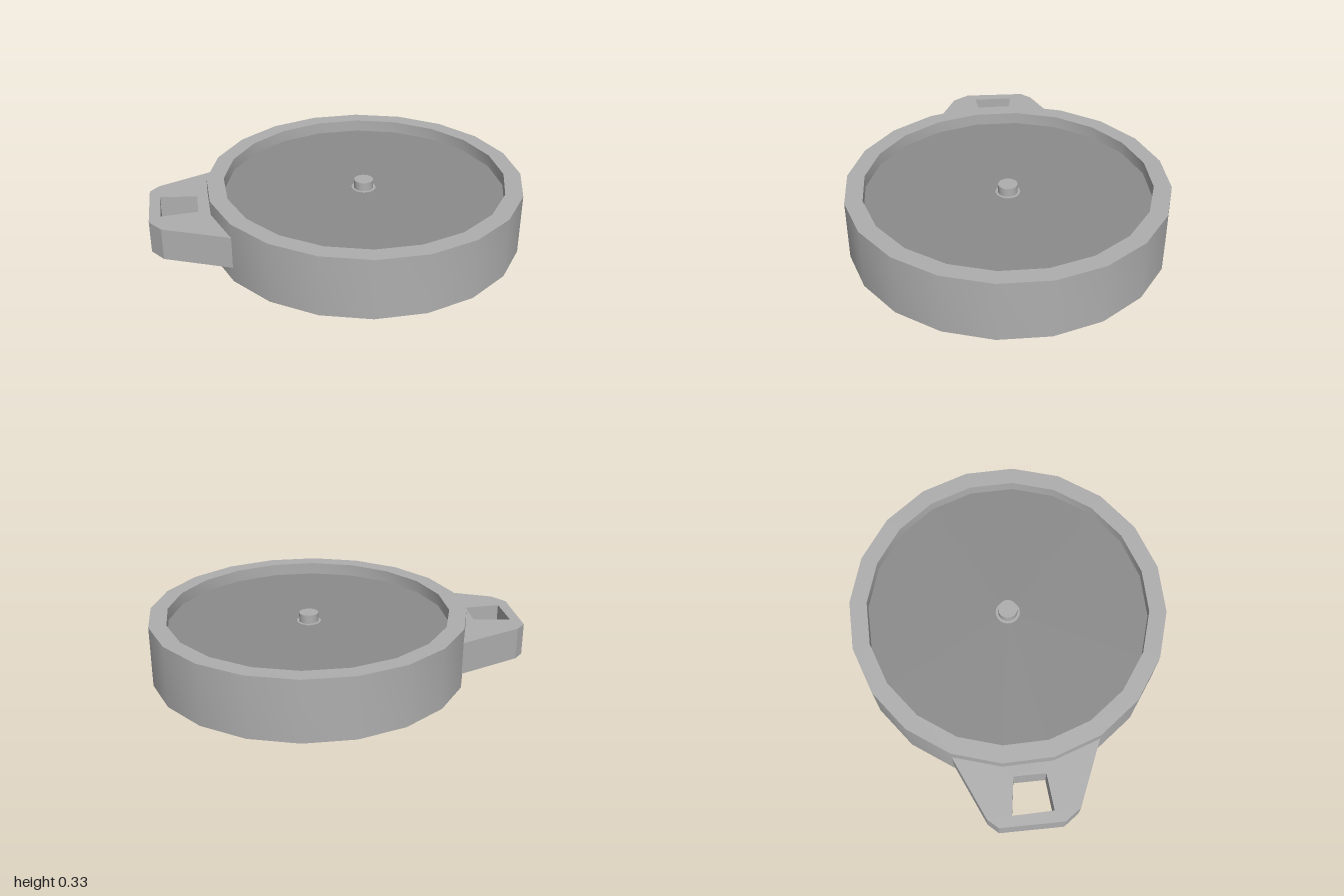
import * as THREE from 'three';
import { toCreasedNormals } from 'three/addons/utils/BufferGeometryUtils.js';

const CENTER_X = 0.155;
const SIDES = 20;
const RADIUS = 0.853;
const INNER_RADIUS = 0.76;
const TURN = THREE.MathUtils.degToRad(7.5); // first corner, from +x towards +z
const HEIGHT = 0.333;
const FLOOR_Y = 0.266;

export function createModel() {
  const group = new THREE.Group();
  const bodyMaterial = new THREE.MeshStandardMaterial({ color: 0xaeaeae });
  const floorMaterial = new THREE.MeshStandardMaterial({ color: 0x8b8b8b });

  function add(name, geometry, material, x = 0, y = 0) {
    const mesh = new THREE.Mesh(geometry, material);
    mesh.name = name;
    mesh.position.set(x, y, 0);
    group.add(mesh);
  }

  // Turned surface with smooth walls and sharp rims
  function turned(profile) {
    const points = profile.map(([r, y]) => new THREE.Vector2(r, y));
    return toCreasedNormals(new THREE.LatheGeometry(points, SIDES, Math.PI / 2 - TURN), 0.6);
  }

  // Shallow dish: bottom, outer wall, rim and inner wall
  add('dish', turned([
    [0, 0], [RADIUS, 0], [RADIUS, HEIGHT], [INNER_RADIUS, HEIGHT], [INNER_RADIUS, FLOOR_Y],
  ]), bodyMaterial, CENTER_X);

  // Darker floor closing the dish
  add('floor', turned([[INNER_RADIUS, 0], [0, 0]]), floorMaterial, CENTER_X, FLOOR_Y);

  // Centre pin with a low collar at its foot
  add('centerPin', turned([
    [0.066, 0], [0.066, 0.003], [0.052, 0.003], [0.052, 0.05], [0, 0.05],
  ]), bodyMaterial, CENTER_X - 0.003, FLOOR_Y);

  // Tapered lug, meeting the dish at four of its corners
  const corner = (k) => {
    const a = TURN + (k * Math.PI * 2) / SIDES;
    return [CENTER_X + RADIUS * Math.cos(a), RADIUS * Math.sin(a)];
  };
  const toPoints = (list) => list.map(([x, z]) => new THREE.Vector2(x, -z));
  const outline = new THREE.Shape(toPoints([
    corner(8), corner(9), corner(10), corner(11),
    [-0.95, -0.215], [-1, -0.16], [-1, 0.18], [-0.938, 0.265],
  ]));
  outline.holes.push(new THREE.Path(toPoints([
    [-0.945, -0.087], [-0.747, -0.06], [-0.747, 0.11], [-0.94, 0.13],
  ])));
  const lug = new THREE.ExtrudeGeometry(outline, { depth: 0.175, bevelEnabled: false });
  lug.rotateX(-Math.PI / 2);
  add('lug', lug, bodyMaterial, 0, 0.08);

  return group;
}
